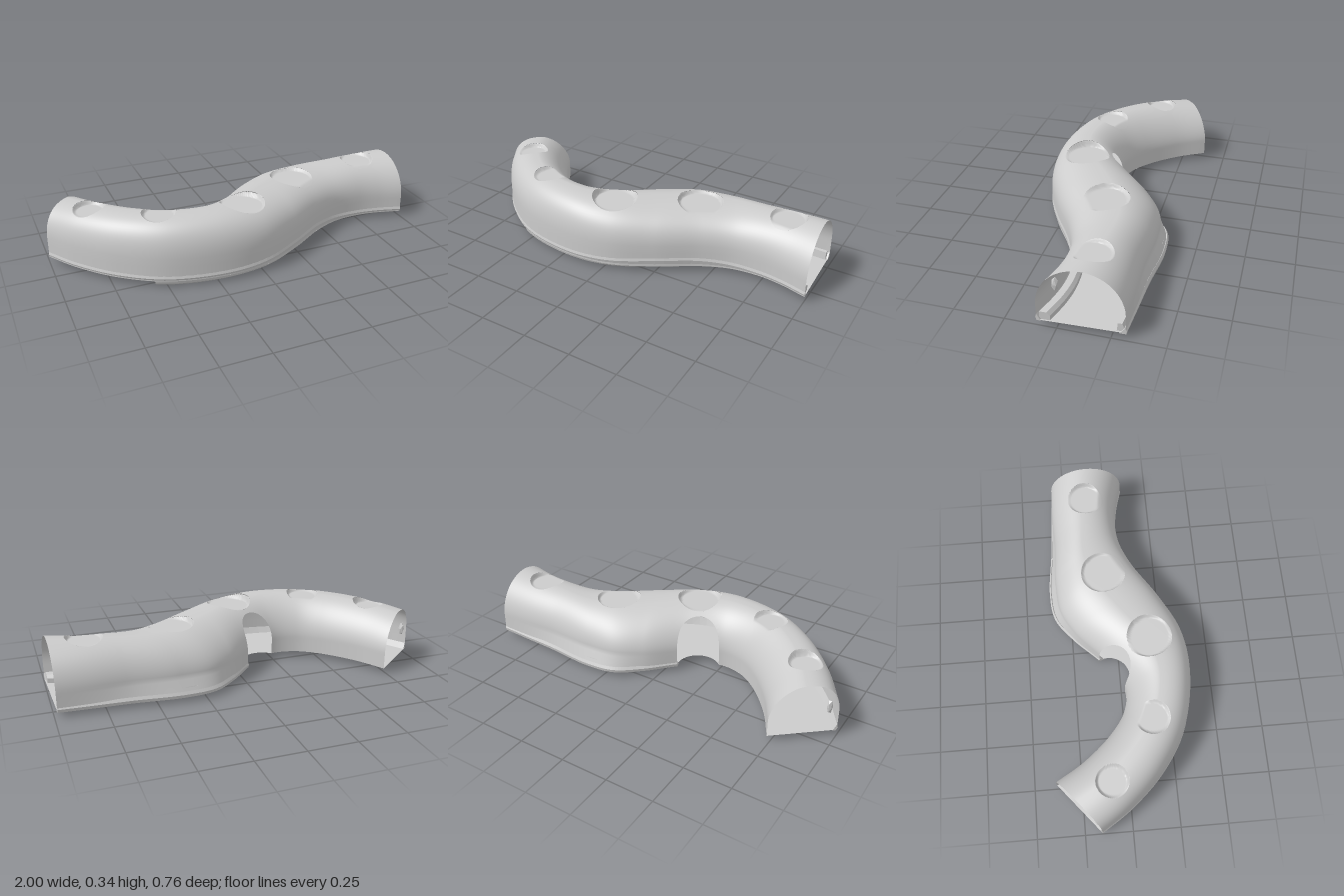
import * as THREE from 'three';
import { mergeVertices } from 'three/addons/utils/BufferGeometryUtils.js';

const V = (x, y, z) => new THREE.Vector3(x, y, z);
const curve = (pts) => new THREE.CatmullRomCurve3(pts.map(([x, z]) => V(x, 0, z)));
const { smoothstep, lerp } = THREE.MathUtils;
const BASE = 0.03;

// Matching plan outlines of the winding tunnel: front wall foot and back wall foot
const front = curve([[-0.998, -0.16], [-0.89, 0], [-0.72, 0.178], [-0.5, 0.315], [-0.2, 0.375], [0.03, 0.35],
  [0.24, 0.25], [0.45, 0.118], [0.6, 0.058], [0.75, 0.045], [0.87, 0.06], [1, 0.095]]);
const back = curve([[-0.735, -0.38], [-0.64, -0.225], [-0.5, -0.07], [-0.385, 0.005], [-0.25, 0.02], [-0.09, -0.08],
  [0.07, -0.24], [0.2, -0.335], [0.36, -0.358], [0.62, -0.335], [0.81, -0.325], [0.985, -0.315]]);
const crown = curve([0.3, 0.318, 0.33, 0.335, 0.335, 0.328, 0.318, 0.312, 0.308, 0.315, 0.322, 0.33].map((h, i) => [i, h]));

// Flat round pads in the roof (x, z, radius, height) and the side doorway (x, z, radius)
const pads = [[-0.78, -0.09, 0.085, 0.288], [-0.48, 0.14, 0.09, 0.312], [-0.04, 0.165, 0.12, 0.298],
  [0.35, -0.05, 0.12, 0.29], [0.81, -0.12, 0.095, 0.298]];
const doorway = [-0.165, -0.06, 0.115];
const outside = (p, [x, z, r]) => Math.hypot(p.x - x, p.z - z) - r;
const floorKeep = (p) => outside(p, doorway);
const shellKeep = (p) => Math.min(floorKeep(p), ...pads.map((h) => outside(p, h)));

// Keeps the part of a polygon where keep(p) is positive
function clip(poly, keep) {
  const out = [];
  poly.forEach((a, i) => {
    const b = poly[(i + 1) % poly.length];
    const da = keep(a), db = keep(b);
    if (da >= 0) out.push(a);
    if ((da >= 0) !== (db >= 0)) out.push(a.clone().lerp(b, da / (da - db)));
  });
  return out;
}

// Grid surface from point(i, j), optionally clipped and smoothed
function surface(point, nu, nv, keep, smooth) {
  const pos = [];
  for (let i = 0; i < nu; i++) {
    for (let j = 0; j < nv; j++) {
      const a = point(i, j), b = point(i + 1, j), c = point(i + 1, j + 1), d = point(i, j + 1);
      for (const tri of [[a, b, c], [a, c, d]]) {
        const poly = keep ? clip(tri, keep) : tri;
        for (let k = 1; k + 1 < poly.length; k++) {
          for (const p of [poly[0], poly[k], poly[k + 1]]) pos.push(p.x, p.y, p.z);
        }
      }
    }
  }
  let geo = new THREE.BufferGeometry();
  geo.setAttribute('position', new THREE.Float32BufferAttribute(pos, 3));
  if (smooth) geo = mergeVertices(geo, 1e-5);
  geo.computeVertexNormals();
  return geo;
}

// Arched cross-section: full and square at the front, leaner and flared at the back
function archPoint(u, t) {
  const a = front.getPoint(u), b = back.getPoint(u), top = crown.getPoint(u).z;
  const spring = 0.12, leg = 0.14;
  const flare = 0.09 * Math.exp(-(((u - 0.72) / 0.16) ** 2));
  let s = 0, y;
  if (t < leg) y = BASE + (spring - BASE) * t / leg;
  else if (t > 1 - leg) {
    const k = (1 - t) / leg;
    s = 1 - flare * k;
    y = BASE + (spring - BASE) * k;
  } else {
    const ang = Math.PI * (t - leg) / (1 - 2 * leg), c = Math.cos(ang);
    const ends = smoothstep(u, 0.6, 1);
    const power = 2 / (c > 0 ? 2.6 - 0.6 * ends : 1.75 + 0.25 * ends);
    s = (1 - Math.sign(c) * Math.abs(c) ** power) / 2;
    if (c < 0) s = 0.5 + (s - 0.5) * (1 - 2 * flare);
    y = spring + (top - spring) * Math.max(0, Math.sin(ang)) ** power;
  }
  return a.lerp(b, s).setY(y);
}

// Solid strip swept along a wall foot; profile(k) gives [inward offset, height] corners
function strip(edge, other, u0, u1, profile, n = 60) {
  const ring = (k) => {
    const u = u0 + (u1 - u0) * k / n;
    const e = edge.getPoint(u), inward = other.getPoint(u).sub(e).normalize();
    return profile(k / n).map(([o, y]) => e.clone().addScaledVector(inward, o).setY(y));
  };
  const middle = (r) => r.reduce((m, p) => m.add(p), V(0, 0, 0)).divideScalar(r.length);
  const rings = Array.from({ length: n + 1 }, (_, k) => ring(k));
  const rows = [rings[0].map(() => middle(rings[0])), ...rings, rings[n].map(() => middle(rings[n]))];
  const count = rings[0].length;
  return surface((i, j) => rows[i][j % count], n + 2, count);
}

export function createModel() {
  const group = new THREE.Group();
  const grey = new THREE.MeshStandardMaterial({ color: 0xcccccc, side: THREE.DoubleSide });
  const add = (name, geo) => {
    const mesh = new THREE.Mesh(geo, grey);
    mesh.name = name;
    group.add(mesh);
    return mesh;
  };

  // Thin arched shell with round pad recesses and doorway
  add('tunnelShell', surface((i, j) => archPoint(i / 160, j / 50), 160, 50, shellKeep, true));

  // Flat pads closing the round recesses, rising to meet the shell at the rim
  for (const pad of pads) {
    const padPoint = (i, j) => {
      const p = archPoint(i / 320, j / 100);
      return p.setY(lerp(Math.min(p.y, pad[3]), p.y, smoothstep(outside(p, pad), -0.012, 0)));
    };
    add('roofPad', surface(padPoint, 320, 100, (p) => -outside(p, pad), true));
  }

  // Flat floor, cut away at the doorway
  add('floor', surface((i, j) => front.getPoint(i / 120).lerp(back.getPoint(i / 120), j / 20).setY(BASE), 120, 20, floorKeep, true));

  // Outer ridges along both feet, the front one rising along the bend
  add('frontRidge', strip(front, back, 0, 1, (k) => {
    const y = 0.062 + 0.022 * Math.exp(-(((k - 0.58) / 0.15) ** 2));
    return [[0.02, 0.026], [0.003, 0.027], [-0.004, y - 0.018], [0.001, y]];
  }));
  add('backRidge', strip(back, front, 0.47, 1, () => [[0.03, 0.024], [-0.001, 0.024], [-0.004, 0.04], [0.005, 0.055]]));

  // Lip below the front foot, tapering away along the bend
  add('frontLip', strip(front, back, 0.25, 0.6, (k) => {
    const y = 0.028 * k ** 1.5, w = 0.065 - 0.045 * Math.min(1, k * 2);
    return [[w + 0.01, 0.03], [0, 0.03], [0.004, lerp(y, 0.03, 0.5)], [0.02, y], [w, y]];
  }));

  // Rails standing on the floor inside the walls
  add('frontRail', strip(front, back, 0.7, 0.995, () => [[0.01, BASE], [0.06, BASE], [0.06, 0.055], [0.045, 0.072], [0.01, 0.072]]));
  add('backRail', strip(back, front, 0.5, 0.995, () => [[0.005, BASE], [0.045, BASE], [0.04, 0.072], [0.02, 0.072]]));

  // Small rough clips on the inside of the front wall
  for (const [x, y, z] of [[0.9, 0.165, 0.036], [-0.955, 0.16, -0.175]]) {
    const clipMesh = add('wallClip', new THREE.IcosahedronGeometry(0.02, 0));
    clipMesh.position.set(x, y, z);
    clipMesh.scale.set(0.7, 2, 0.9);
  }
  return group;
}
